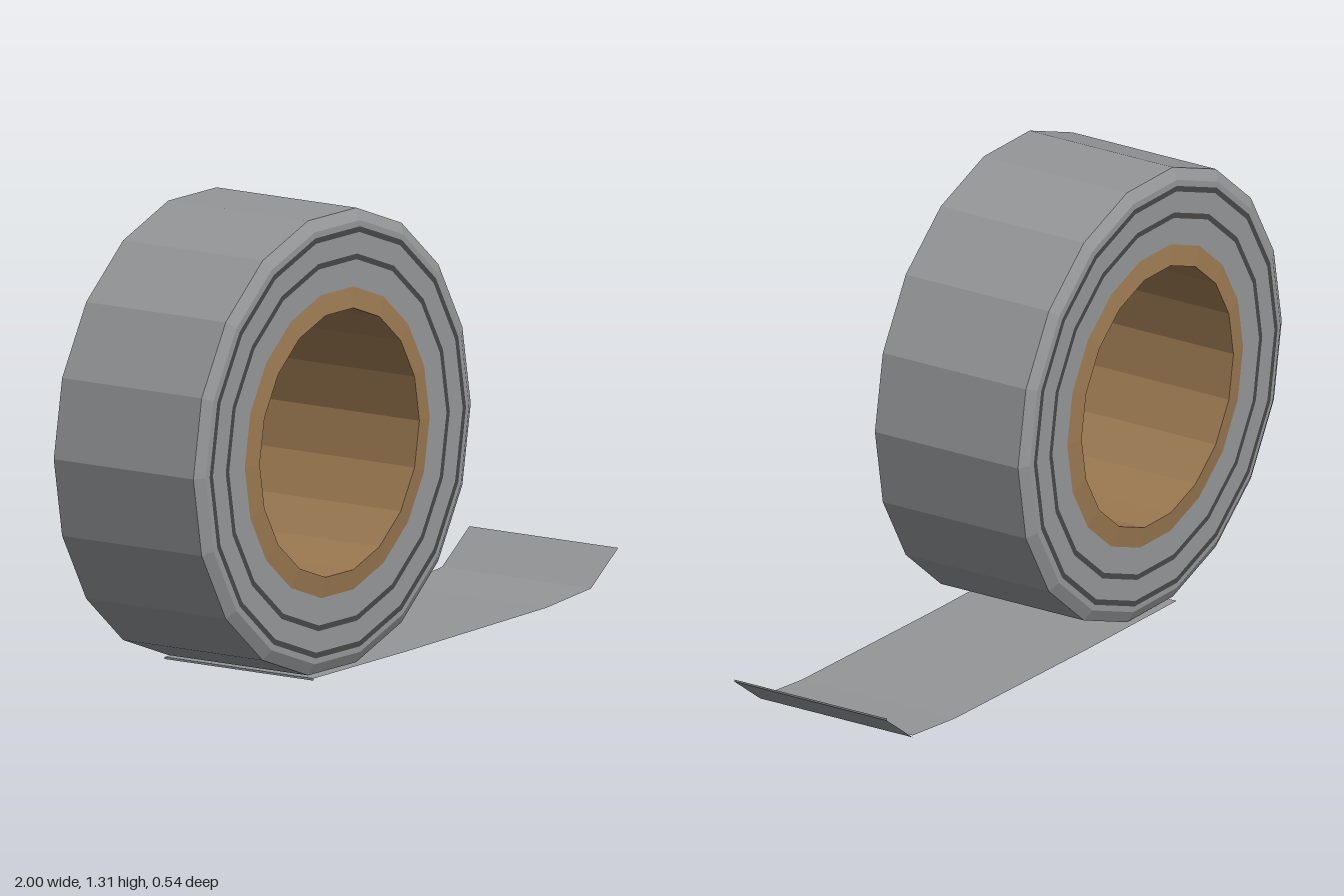
import * as THREE from 'three';

const SIDES = 18;

export function createModel() {
  const model = new THREE.Group();
  const mat = (name, color) => Object.assign(new THREE.MeshStandardMaterial({ color, flatShading: true }), { name });
  const tapeGrey = mat('tape grey', 0x949698);
  const lineGrey = mat('layer line grey', 0x464746);
  const cardboard = mat('cardboard brown', 0x9a7951);

  const add = (parent, name, geometry, material) => {
    const mesh = new THREE.Mesh(geometry, material);
    mesh.name = name;
    parent.add(mesh);
    return mesh;
  };

  // Faceted ring turned around the z axis, with a corner on the x axis
  const turned = (profile) => {
    const points = profile.map(([r, z]) => new THREE.Vector2(r, z));
    const g = new THREE.LatheGeometry(points, SIDES, Math.PI / 2).rotateX(Math.PI / 2).toNonIndexed();
    g.computeVertexNormals();
    return g;
  };

  // Roll: wound tape and cardboard core
  const roll = new THREE.Group();
  roll.name = 'roll';
  roll.position.set(-0.34, 0.664, 0);
  model.add(roll);

  add(roll, 'woundTape', turned([
    [0.44, -0.26], [0.627, -0.26], [0.66, -0.242], [0.66, 0.242], [0.627, 0.26], [0.44, 0.26],
  ]), tapeGrey);
  add(roll, 'core', turned([
    [0.44, 0.26], [0.38, 0.268], [0.38, -0.268], [0.44, -0.26],
  ]), cardboard);

  // Dark layer lines on both faces of the roll
  for (const side of [1, -1]) {
    for (const r of [0.525, 0.602]) {
      const line = add(roll, 'layerLine', new THREE.RingGeometry(r - 0.008, r + 0.008, SIDES, 1), lineGrey);
      line.position.z = side * 0.262;
      if (side < 0) line.rotation.y = Math.PI;
    }
  }

  // Loose strip: two thin skins joined at the ends, curling up at the tip
  const path = [[-0.45, 0], [0, 0.005], [0.66, 0.02], [0.87, 0.04], [1, 0.135]];
  const loop = [...path, ...path.map(([x, y]) => [x, y + 0.006]).reverse()];
  const half = 0.258;
  const verts = [];
  loop.forEach(([x0, y0], i) => {
    const [x1, y1] = loop[(i + 1) % loop.length];
    verts.push(x0, y0, half, x0, y0, -half, x1, y1, -half);
    verts.push(x0, y0, half, x1, y1, -half, x1, y1, half);
  });
  const strip = new THREE.BufferGeometry();
  strip.setAttribute('position', new THREE.Float32BufferAttribute(verts, 3));
  strip.computeVertexNormals();
  add(model, 'looseStrip', strip, tapeGrey);

  return model;
}
